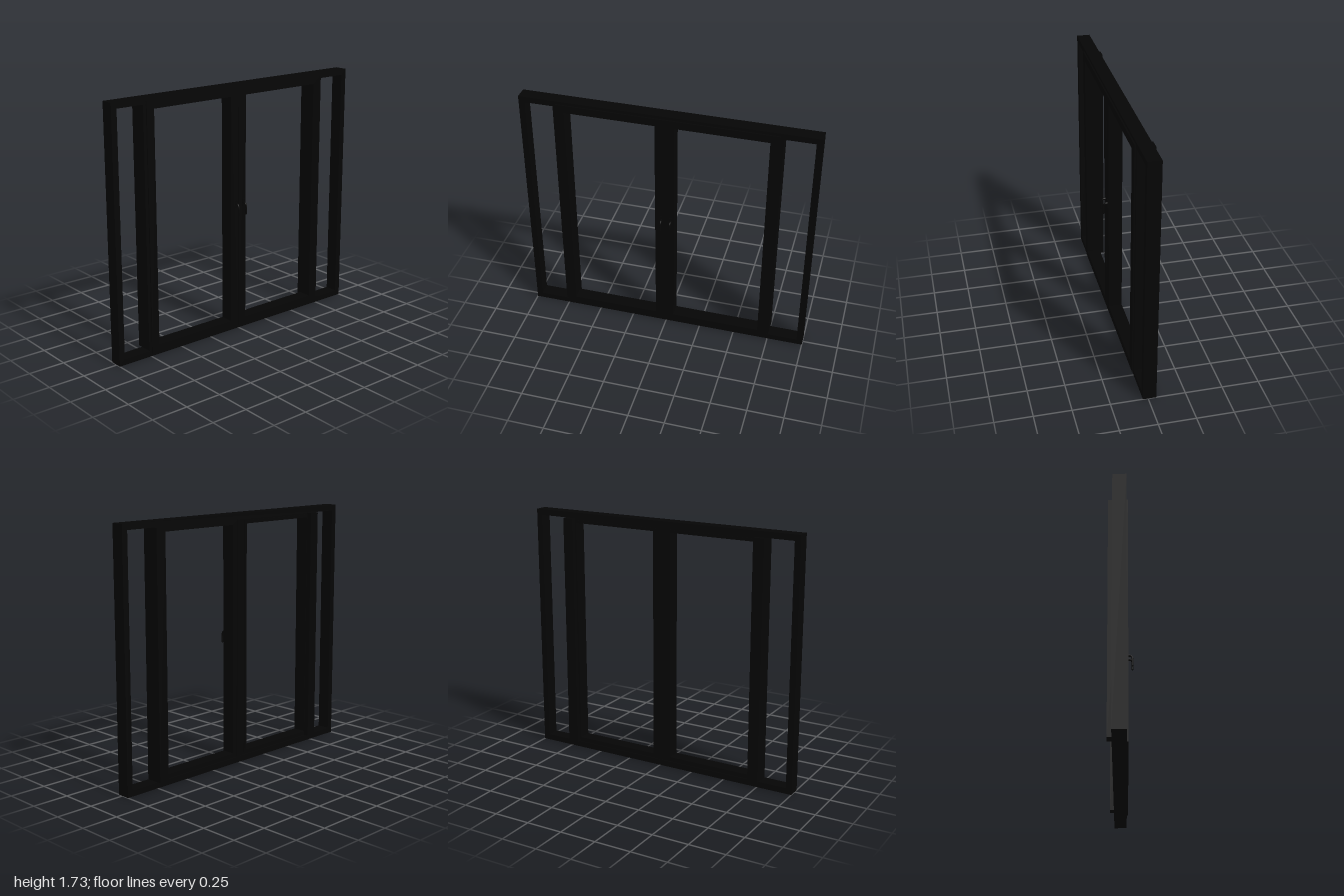
import * as THREE from 'three';

const material = new THREE.MeshStandardMaterial({ color: 0x050505 });

function add(parent, name, geometry, x = 0, y = 0, z = 0) {
  const mesh = new THREE.Mesh(geometry, material);
  mesh.name = name;
  mesh.position.set(x, y, z);
  parent.add(mesh);
  return mesh;
}

// Box given by its limits on each axis
function block(parent, name, [x0, x1], [y0, y1], [z0, z1]) {
  return add(parent, name, new THREE.BoxGeometry(x1 - x0, y1 - y0, z1 - z0),
    (x0 + x1) / 2, (y0 + y1) / 2, (z0 + z1) / 2);
}

// Rectangular ring in the z-y plane, extruded along x (corners run counter-clockwise)
function ring(parent, name, [x0, x1], outer, inner) {
  const corners = ([z0, z1, y0, y1]) => [[-z1, y0], [-z0, y0], [-z0, y1], [-z1, y1]]
    .map(([a, b]) => new THREE.Vector2(a, b));
  const shape = new THREE.Shape(corners(outer));
  shape.holes.push(new THREE.Path(corners(inner).reverse()));
  const geometry = new THREE.ExtrudeGeometry(shape, { depth: x1 - x0, bevelEnabled: false });
  geometry.rotateY(Math.PI / 2);
  return add(parent, name, geometry, x0);
}

// Lever handle: backplate, neck and curved grip
function handle(z) {
  const group = new THREE.Group();
  group.name = 'handle';
  block(group, 'handlePlate', [0.04, 0.049], [0.89, 0.945], [-0.01, 0.01]);
  const neck = add(group, 'handleNeck', new THREE.CylinderGeometry(0.009, 0.009, 0.014, 16), 0.054, 0.918, 0);
  neck.rotation.z = Math.PI / 2;
  const path = new THREE.CatmullRomCurve3([
    [0.046, 0.918], [0.062, 0.917], [0.071, 0.909], [0.075, 0.893], [0.075, 0.844],
  ].map(([x, y]) => new THREE.Vector3(x, y, 0)));
  add(group, 'handleLever', new THREE.TubeGeometry(path, 24, 0.0065, 10));
  add(group, 'handleTip', new THREE.SphereGeometry(0.0065, 10, 8), 0.075, 0.844, 0);
  group.position.z = z;
  return group;
}

export function createModel() {
  const model = new THREE.Group();
  model.name = 'window';

  // Fixed outer frame
  ring(model, 'outerFrame', [-0.055, 0.035], [-1, 1, 0, 1.73], [-0.96, 0.96, 0.04, 1.69]);

  // Posts between the side openings and the sashes
  for (const [z0, z1] of [[0.692, 0.765], [-0.755, -0.682]]) {
    block(model, 'post', [-0.085, 0.034], [0.042, 1.69], [z0, z1]);
  }

  // Two sashes meeting at the centre: deep body, overlapping lip and glazing bead
  const sashes = [
    { outer: 0.745, open: [0.075, 0.69], meet: 0.011 },
    { outer: -0.738, open: [-0.675, -0.055], meet: 0.009 },
  ];
  for (const { outer, open, meet } of sashes) {
    const sash = new THREE.Group();
    sash.name = 'sash';
    const lo = Math.min(outer, meet), hi = Math.max(outer, meet);
    const hole = [open[0], open[1], 0.072, 1.657];
    ring(sash, 'sashBody', [-0.045, 0.03], [lo, hi, 0.03, 1.7], hole);
    ring(sash, 'sashLip', [0.03, 0.044], [lo, hi, 0.02, 1.71], hole);
    ring(sash, 'glazingBead', [-0.05, -0.045],
      [open[0] - 0.02, open[1] + 0.02, 0.052, 1.677], hole);
    model.add(sash);
  }

  // Strip covering the joint of the sashes
  block(model, 'meetingStrip', [-0.05, -0.04], [0.04, 1.69], [-0.015, 0.035]);

  // One handle on each sash
  model.add(handle(0.031), handle(-0.034));
  return model;
}
